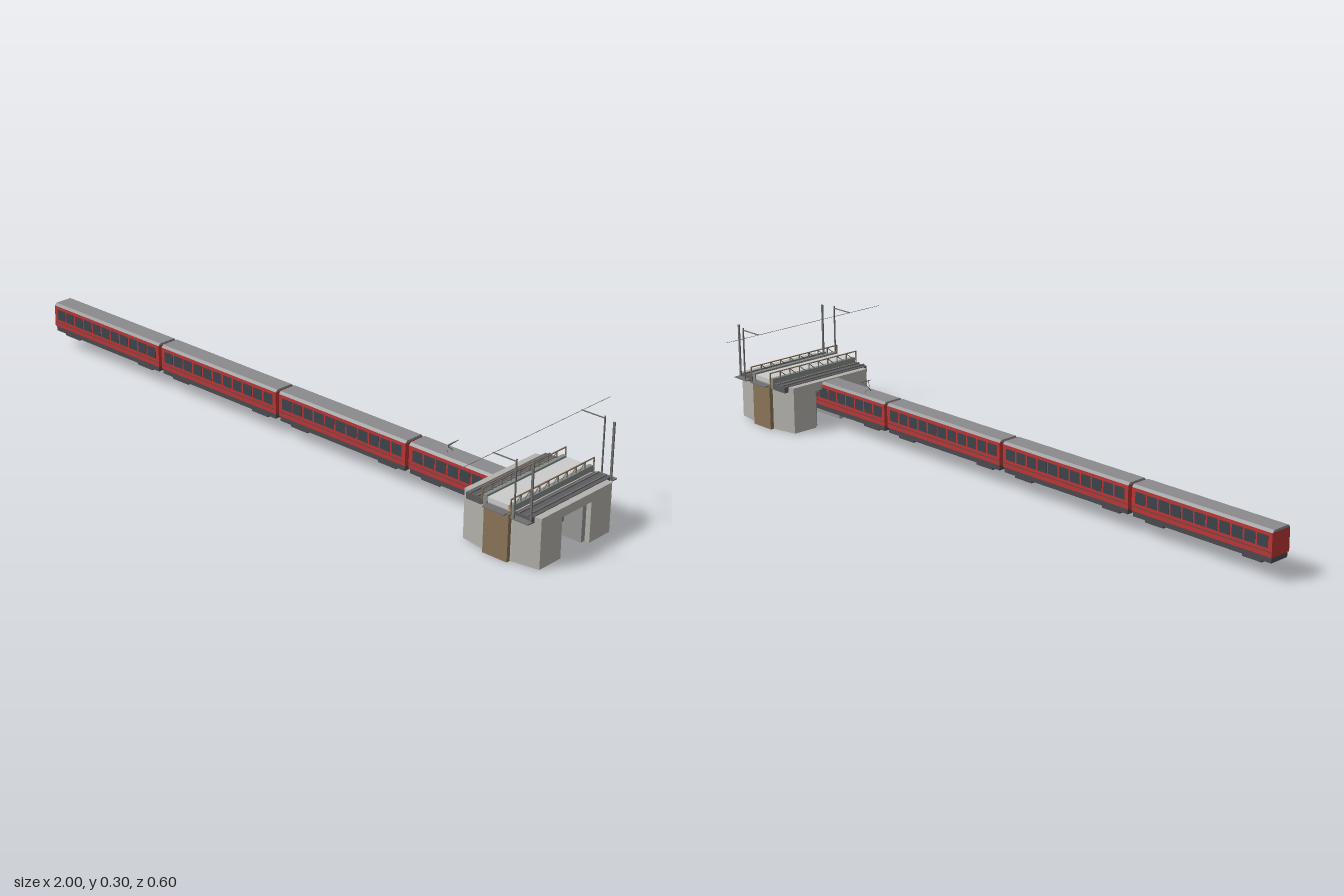
import * as THREE from 'three';

const mat = (color) => new THREE.MeshStandardMaterial({ color, flatShading: true });
const M = {
  red: mat(0xbb3636), dark: mat(0x4b4b50), glass: mat(0x3e434b), roof: mat(0x8b8b8d),
  concrete: mat(0xb4b2ac), lining: mat(0x989898), brown: mat(0x8b7558),
  girder: mat(0x858b86), deck: mat(0xcccccc), steel: mat(0x707070), track: mat(0x5c5c60),
};

function add(parent, name, geometry, material) {
  const mesh = new THREE.Mesh(geometry, material);
  mesh.name = name;
  parent.add(mesh);
  return mesh;
}

// Box given by its limits on each axis
function box(parent, name, material, x0, x1, y0, y1, z0, z1) {
  const m = add(parent, name, new THREE.BoxGeometry(x1 - x0, y1 - y0, z1 - z0), material);
  m.position.set((x0 + x1) / 2, (y0 + y1) / 2, (z0 + z1) / 2);
  return m;
}

// Straight bar between two points
function bar(parent, name, material, a, b, r) {
  const p = new THREE.Vector3(...a), q = new THREE.Vector3(...b);
  const d = q.clone().sub(p);
  const m = add(parent, name, new THREE.CylinderGeometry(r, r, d.length(), 6), material);
  m.position.copy(p).add(q).multiplyScalar(0.5);
  m.quaternion.setFromUnitVectors(new THREE.Vector3(0, 1, 0), d.normalize());
  return m;
}

// Cross-section (z, y) extruded along x
function sectionX(parent, name, material, pts, x0, x1) {
  const shape = new THREE.Shape(pts.map(([z, y]) => new THREE.Vector2(-z, y)));
  const g = new THREE.ExtrudeGeometry(shape, { depth: x1 - x0, bevelEnabled: false });
  g.rotateY(Math.PI / 2);
  const m = add(parent, name, g, material);
  m.position.x = x0;
  return m;
}

// Plan outline (x, z) extruded upwards
function prismY(parent, name, material, pts, y0, y1) {
  const shape = new THREE.Shape(pts.map(([x, z]) => new THREE.Vector2(x, -z)));
  const g = new THREE.ExtrudeGeometry(shape, { depth: y1 - y0, bevelEnabled: false });
  g.rotateX(-Math.PI / 2);
  const m = add(parent, name, g, material);
  m.position.y = y0;
  return m;
}

const CAR = 0.475;

function carriage(x0) {
  const car = new THREE.Group();
  car.name = 'carriage';
  box(car, 'body', M.red, 0, CAR, 0.066, 0.133, -0.035, 0.035);
  sectionX(car, 'roof', M.roof,
    [[-0.035, 0.133], [0.035, 0.133], [0.028, 0.14], [-0.028, 0.14]], 0, CAR);
  box(car, 'underframe', M.dark, 0.003, CAR - 0.003, 0.05, 0.066, -0.032, 0.032);
  for (const x of [0.038, 0.37]) {
    box(car, 'bogie', M.dark, x, x + 0.065, 0.041, 0.051, -0.026, 0.026);
  }
  // Window rows and lower trim on both sides
  const n = 11, pitch = (CAR - 0.02) / n;
  for (const s of [-1, 1]) {
    for (let i = 0; i < n; i++) {
      const x = 0.01 + i * pitch;
      const w = box(car, 'window', M.glass, x + 0.003, x + pitch - 0.003, 0.09, 0.123, -0.0005, 0.0005);
      w.position.z = s * 0.0352;
    }
    const t = box(car, 'trimLine', M.dark, 0, CAR, 0.079, 0.081, -0.0004, 0.0004);
    t.position.z = s * 0.0352;
  }
  car.position.x = x0;
  return car;
}

function train() {
  const g = new THREE.Group();
  g.name = 'train';
  const pitch = 0.488;
  for (let i = 0; i < 4; i++) {
    const x = -1 + i * pitch;
    g.add(carriage(x));
    if (i < 3) box(g, 'gangway', M.dark, x + CAR, x + pitch, 0.055, 0.122, -0.018, 0.018);
  }
  // Current collector on the last carriage
  const p = new THREE.Group();
  p.name = 'currentCollector';
  for (const s of [-1, 1]) {
    bar(p, 'lowerArm', M.steel, [0.578, 0.14, s * 0.012], [0.57, 0.153, 0], 0.0012);
    bar(p, 'upperArm', M.steel, [0.57, 0.153, 0], [0.588, 0.17, s * 0.012], 0.0012);
  }
  bar(p, 'contactBar', M.steel, [0.588, 0.17, -0.02], [0.588, 0.17, 0.02], 0.0015);
  g.add(p);
  return g;
}

// Abutment on the +z side; the other is its half-turn copy about x = 0.875
function abutment() {
  const g = new THREE.Group();
  g.name = 'abutment';
  prismY(g, 'wall', M.concrete, [
    [-0.125, 0.06], [-0.125, 0.145], [-0.045, 0.158], [0.045, 0.158],
    [0.125, 0.145], [0.125, 0.06]], 0, 0.143);
  box(g, 'pier', M.brown, -0.04, 0.04, -0.001, 0.135, 0.1, 0.17);
  box(g, 'portalLining', M.lining, -0.11, 0.11, 0, 0.117, 0.045, 0.0605);
  box(g, 'bearingLedge', M.steel, -0.035, 0.035, 0.134, 0.137, 0.15, 0.184);
  return g;
}

function bridge() {
  const g = new THREE.Group();
  g.name = 'bridge';
  const cx = 0.875;
  for (const s of [1, -1]) {
    const a = abutment();
    a.position.x = cx;
    if (s < 0) a.rotation.y = Math.PI;
    g.add(a);
  }
  box(g, 'topBeam', M.concrete, 0.75, 1, 0.117, 0.143, -0.0605, 0.0605);
  box(g, 'lintel', M.lining, 0.765, 0.985, 0.105, 0.1175, -0.06, 0.06);

  // Track beds either side of the central deck
  for (const s of [-1, 1]) {
    const x = cx + s * 0.08;
    box(g, 'trackBed', M.track, x - 0.025, x + 0.025, 0.127, 0.145, -0.163, 0.163);
    for (const r of [-0.012, 0.012]) {
      box(g, 'rail', M.steel, x + r - 0.002, x + r + 0.002, 0.145, 0.149, -0.163, 0.163);
    }
  }
  box(g, 'deck', M.deck, cx - 0.035, cx + 0.033, 0.143, 0.156, -0.163, 0.163);

  // Girders carrying braced railings
  for (const s of [-1, 1]) {
    const x = cx + s * 0.043;
    box(g, 'girder', M.girder, x - 0.006, x + 0.006, 0.143, 0.16, -0.163, 0.163);
    box(g, 'girderEnd', M.girder, x - 0.006, x + 0.006, 0.127, 0.143, 0.145, 0.163);
    box(g, 'girderEnd', M.girder, x - 0.006, x + 0.006, 0.127, 0.143, -0.163, -0.145);
    const rx = x + s * 0.003;
    box(g, 'handrail', M.brown, rx - 0.0015, rx + 0.0015, 0.177, 0.18, -0.17, 0.17);
    for (const z of [-0.17, 0.17]) {
      box(g, 'endPost', M.brown, rx - 0.0015, rx + 0.0015, 0.135, 0.18, z - 0.0015, z + 0.0015);
    }
    for (let i = 0; i < 8; i++) {
      const z = 0.131 - i * 0.0375;
      box(g, 'railPost', M.steel, rx - 0.0015, rx + 0.0015, 0.145, 0.18, z - 0.0012, z + 0.0012);
      bar(g, 'railBrace', M.steel, [rx, 0.16, z + 0.022], [rx, 0.178, z], 0.0012);
    }
  }

  // Masts, bracket arms and overhead wire
  for (const s of [-1, 1]) {
    box(g, 'mast', M.steel, 0.978, 0.984, 0.135, 0.3, s * 0.165 - 0.002, s * 0.165 + 0.002);
    box(g, 'armMast', M.steel, 0.939, 0.942, 0.135, 0.3, s * 0.18 - 0.002, s * 0.18 + 0.002);
    box(g, 'bracketArm', M.steel, 0.865, 0.941, 0.292, 0.295, s * 0.18 - 0.001, s * 0.18 + 0.001);
    box(g, 'mastFoot', M.steel, 0.93, 0.987, 0.134, 0.137, s * 0.174 - 0.01, s * 0.174 + 0.01);
  }
  bar(g, 'overheadWire', M.steel, [0.867, 0.293, -0.302], [0.867, 0.293, 0.302], 0.0007);
  return g;
}

export function createModel() {
  const model = new THREE.Group();
  model.name = 'trainUnderBridge';
  model.add(train(), bridge());
  return model;
}
